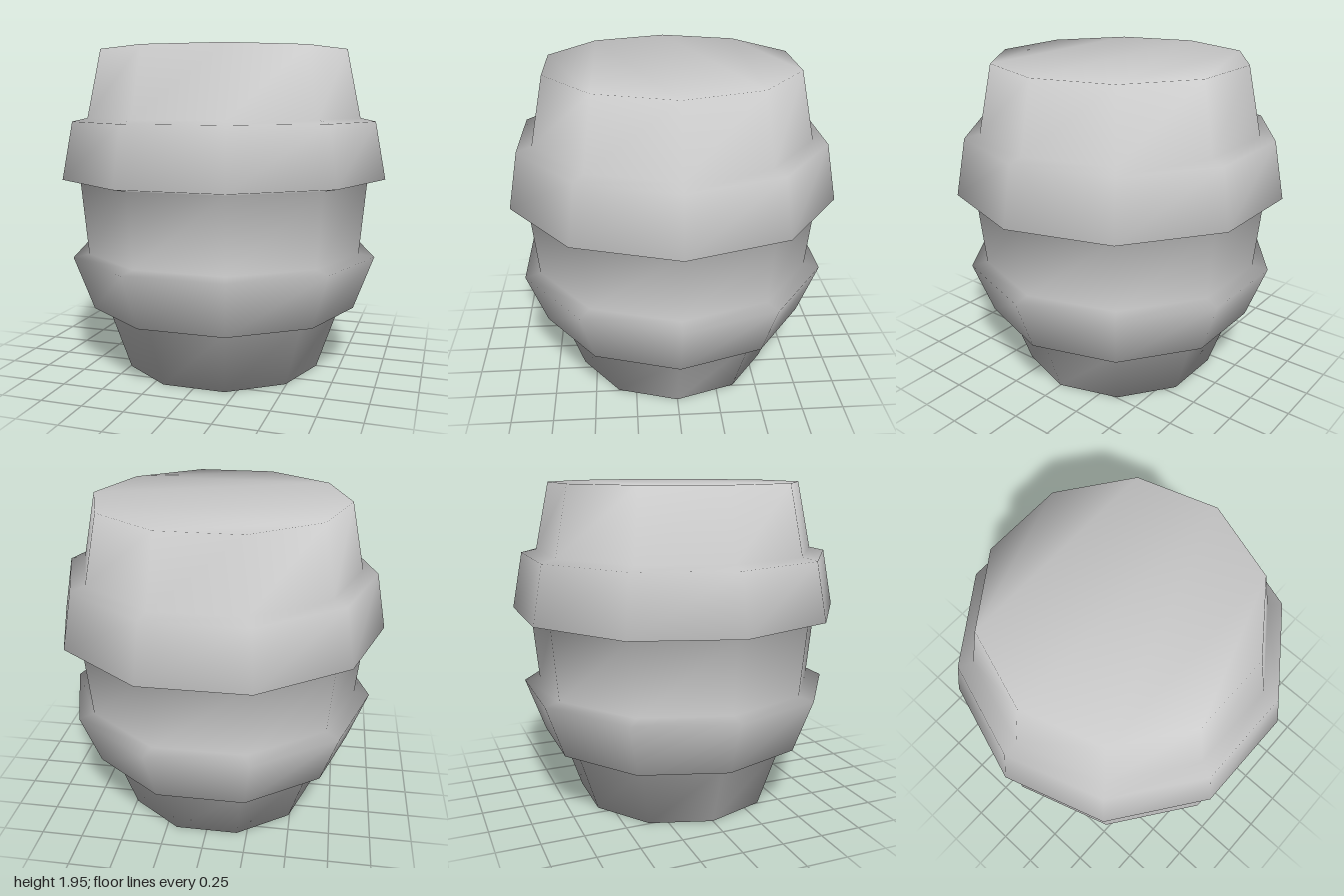
import * as THREE from 'three';

const SIDES = 10;
// Radius and height of each ring, from the foot to the top rim
const PROFILE = [
  [0.61, 0], [0.74, 0.38], [0.83, 0.395], [0.95, 0.72], [0.855, 0.735],
  [0.895, 1.17], [1.0, 1.19], [0.935, 1.53], [0.845, 1.55], [0.76, 1.95],
];

// Flat cap as a zigzag strip across one ring, from corner "start" to the opposite one
function addCap(index, base, start, up) {
  const strip = [start];
  for (let k = 1; k < SIDES / 2; k++) strip.push(start + k, start - k);
  strip.push(start + SIDES / 2);
  const v = strip.map((i) => base + ((i + SIDES) % SIDES));
  for (let i = 0; i + 2 < SIDES; i++) {
    const flip = (i % 2 === 0) === up;
    index.push(v[i], flip ? v[i + 2] : v[i + 1], flip ? v[i + 1] : v[i + 2]);
  }
}

function barrelGeometry() {
  const pos = [], index = [];
  for (const [r, y] of PROFILE) {
    for (let j = 0; j < SIDES; j++) {
      const a = (j / SIDES) * Math.PI * 2;
      pos.push(r * Math.cos(a), y, r * Math.sin(a));
    }
  }
  // Staves and raised hoops
  for (let i = 0; i < PROFILE.length - 1; i++) {
    for (let j = 0; j < SIDES; j++) {
      const a = i * SIDES + j, b = i * SIDES + ((j + 1) % SIDES);
      index.push(a, a + SIDES, b, b, a + SIDES, b + SIDES);
    }
  }
  addCap(index, 0, 0, false);
  addCap(index, (PROFILE.length - 1) * SIDES, 7, true);

  const geo = new THREE.BufferGeometry();
  geo.setAttribute('position', new THREE.Float32BufferAttribute(pos, 3));
  geo.setIndex(index);
  geo.computeVertexNormals(); // shared corners: smooth over the whole body
  return geo;
}

export function createModel() {
  const group = new THREE.Group();
  group.name = 'barrel';
  const body = new THREE.Mesh(barrelGeometry(), new THREE.MeshStandardMaterial({ color: 0xcccccc }));
  body.name = 'barrelBody';
  group.add(body);
  return group;
}
